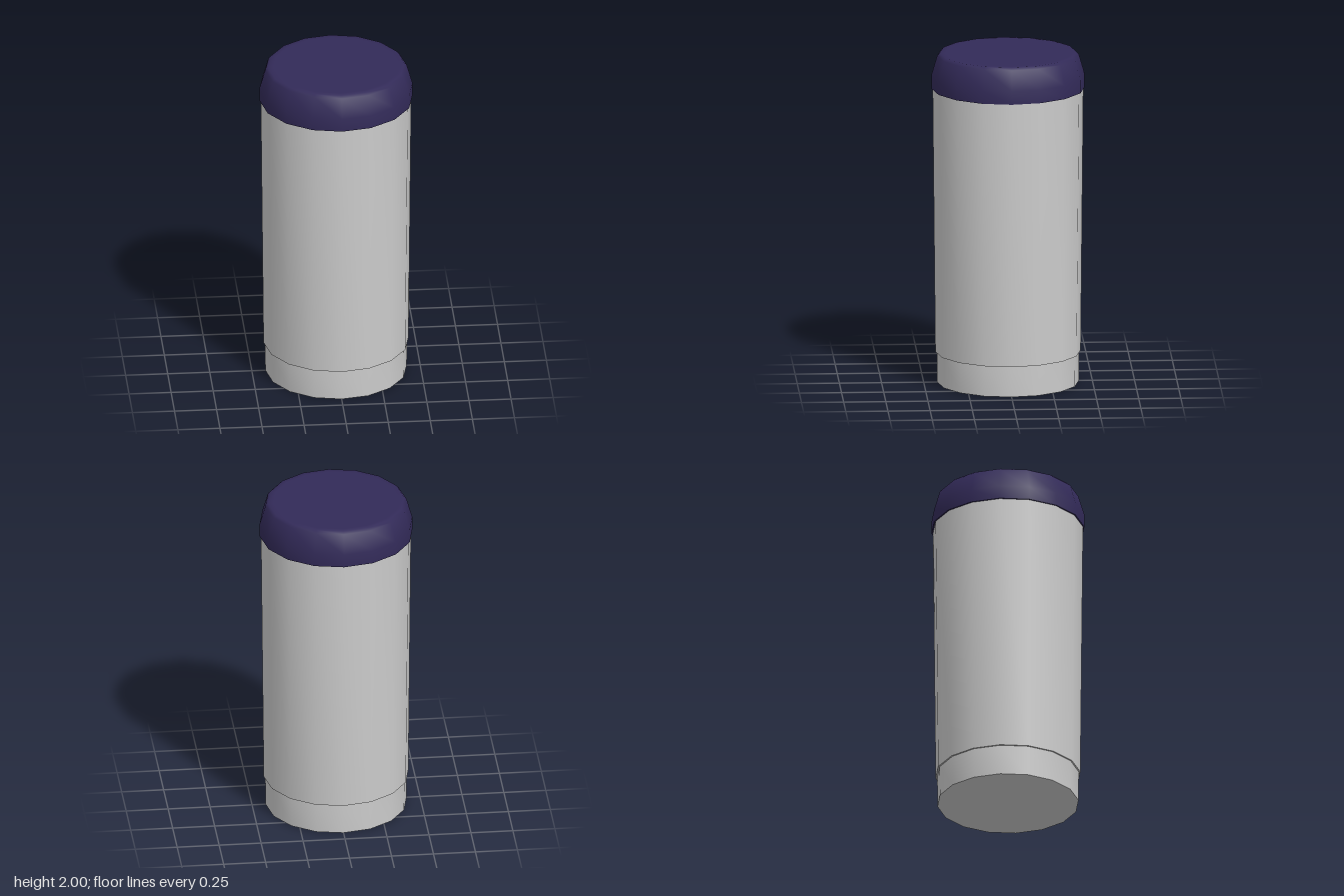
import * as THREE from 'three';
import { toCreasedNormals } from 'three/addons/utils/BufferGeometryUtils.js';

const SIDES = 16;

// Revolve a profile of [radius, y] points, listed from bottom to top
function turned(name, profile, color) {
  const points = profile.map(([r, y]) => new THREE.Vector2(r, y));
  const geometry = toCreasedNormals(new THREE.LatheGeometry(points, SIDES), 0.85);
  const mesh = new THREE.Mesh(geometry, new THREE.MeshStandardMaterial({ color }));
  mesh.name = name;
  return mesh;
}

export function createModel() {
  const group = new THREE.Group();
  group.name = 'lidded canister';

  // Recessed foot with a closed underside
  group.add(turned('base', [[0, 0], [0.42, 0], [0.422, 0.19]], 0xcccccc));

  // Slightly flared body overhanging the foot
  group.add(turned('body', [[0.42, 0.185], [0.431, 0.185], [0.447, 1.8]], 0xcccccc));

  // Lid: straight skirt, tapered shoulder, softened rim and flat top
  group.add(turned('lid', [
    [0.43, 1.785], [0.455, 1.785], [0.455, 1.865],
    [0.42, 1.985], [0.405, 2], [0.375, 2], [0, 2],
  ], 0x322a58));

  return group;
}
